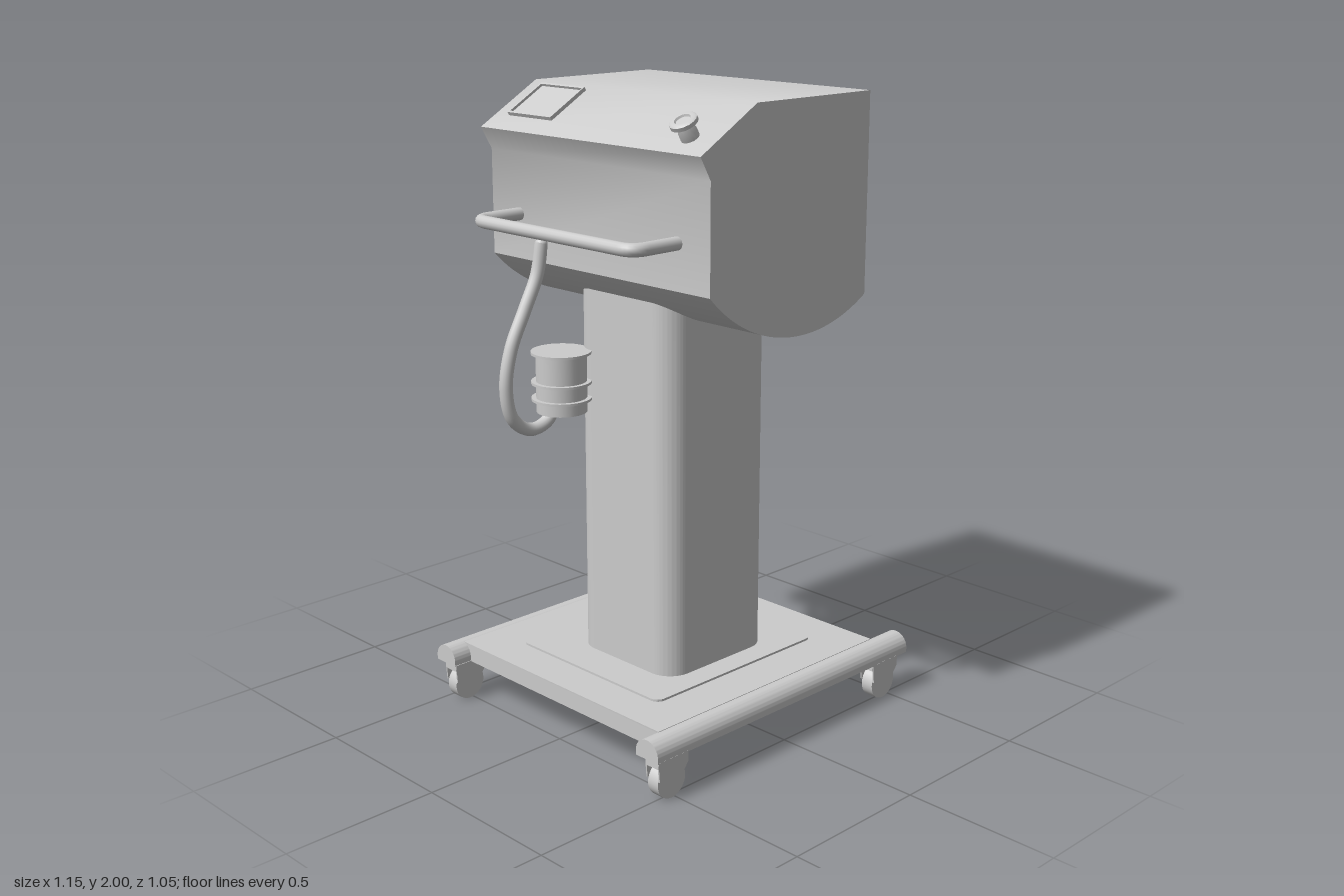
import * as THREE from 'three';
import { toCreasedNormals } from 'three/addons/utils/BufferGeometryUtils.js';

const material = new THREE.MeshStandardMaterial({ color: 0xcccccc, side: THREE.DoubleSide });

function add(parent, name, geometry, x = 0, y = 0, z = 0) {
  const mesh = new THREE.Mesh(geometry, material);
  mesh.name = name;
  mesh.position.set(x, y, z);
  parent.add(mesh);
  return mesh;
}

function extrude(shape, depth) {
  const g = new THREE.ExtrudeGeometry(shape, { depth, bevelEnabled: false, curveSegments: 20 });
  return toCreasedNormals(g, 0.6);
}

// Rounded rectangle in plan; z runs opposite to the shape's y
function plan(Kind, x0, x1, z0, z1, r) {
  const s = new Kind();
  const a = -z1, b = -z0;
  s.moveTo(x0 + r, a);
  s.lineTo(x1 - r, a);
  s.absarc(x1 - r, a + r, r, -Math.PI / 2, 0);
  s.lineTo(x1, b - r);
  s.absarc(x1 - r, b - r, r, 0, Math.PI / 2);
  s.lineTo(x0 + r, b);
  s.absarc(x0 + r, b - r, r, Math.PI / 2, Math.PI);
  s.lineTo(x0, a + r);
  s.absarc(x0 + r, a + r, r, Math.PI, Math.PI * 1.5);
  return s;
}

// Slab with an opening, lying flat from y0 to y1
function slab(outer, inner, y0, y1) {
  const shape = plan(THREE.Shape, ...outer);
  shape.holes.push(plan(THREE.Path, ...inner));
  return extrude(shape, y1 - y0).rotateX(-Math.PI / 2).translate(0, y0, 0);
}

function buildBase(root) {
  const base = new THREE.Group();
  base.name = 'base';
  root.add(base);

  const bore = [-0.24, 0.19, -0.18, 0.23, 0.07];
  const raised = [-0.38, 0.33, -0.32, 0.32, 0.03];
  add(base, 'basePlate', slab([-0.51, 0.465, -0.47, 0.46, 0.003], raised, 0.18, 0.19));
  add(base, 'raisedPlate', slab(raised, bore, 0.183, 0.197));
  for (const x of [-0.505, 0.46]) {
    add(base, 'sideSkirt', new THREE.BoxGeometry(0.01, 0.055, 0.92), x, 0.158, 0);
  }
  add(base, 'column', slab([-0.25, 0.2, -0.19, 0.24, 0.08], bore, 0.185, 1.42));

  // Domed rails along the front and back
  const dome = new THREE.Shape();
  dome.moveTo(-0.047, 0.13);
  dome.lineTo(0.047, 0.13);
  dome.lineTo(0.047, 0.145);
  dome.absarc(0, 0.145, 0.047, 0, Math.PI);
  for (const z of [-0.478, 0.478]) {
    const g = extrude(dome, 1.15).rotateY(Math.PI / 2).translate(-0.575, 0, 0);
    add(base, 'rail', g, 0, 0, z);
  }
  for (const x of [-0.513, 0.463]) for (const z of [-0.457, 0.497]) buildCaster(base, x, z);
}

function buildCaster(parent, x, z) {
  const caster = new THREE.Group();
  caster.name = 'caster';
  caster.position.set(x, 0, z);
  parent.add(caster);
  const wheel = new THREE.CylinderGeometry(0.056, 0.056, 0.042, 28).rotateX(Math.PI / 2);
  add(caster, 'wheel', wheel, 0, 0.056, 0);
  const cheek = new THREE.Shape();
  cheek.moveTo(-0.06, 0.133);
  cheek.lineTo(-0.055, 0.07);
  cheek.lineTo(-0.015, 0.048);
  cheek.lineTo(0.025, 0.052);
  cheek.lineTo(0.062, 0.1);
  cheek.lineTo(0.062, 0.133);
  for (const s of [-1, 1]) add(caster, 'forkCheek', extrude(cheek, 0.005), 0, 0, s * 0.026 - 0.0025);
  add(caster, 'forkCrown', new THREE.BoxGeometry(0.12, 0.02, 0.052), 0, 0.122, 0);
}

function buildHead(root) {
  const head = new THREE.Group();
  head.name = 'head';
  root.add(head);

  // Side profile with a rounded belly and a sloping console
  const profile = new THREE.Shape();
  profile.moveTo(0.335, 2);
  profile.lineTo(-0.155, 2);
  profile.lineTo(-0.38, 1.87);
  profile.lineTo(-0.34, 1.8);
  profile.lineTo(-0.34, 1.47);
  profile.absarc(0.05, 1.832, 0.532, Math.atan2(-0.362, -0.39), Math.atan2(-0.449, 0.285), false);
  profile.lineTo(0.335, 2);
  add(head, 'housing', extrude(profile, 0.955), 0, 0, -0.46);

  // Console fittings: local x runs up the slope, local y points out of it
  const console = new THREE.Group();
  console.name = 'console';
  console.position.set(-0.38, 1.87, 0);
  console.rotation.z = Math.atan2(0.13, 0.225);
  head.add(console);
  add(console, 'screen', new THREE.BoxGeometry(0.16, 0.006, 0.2), 0.152, 0.001, -0.297);
  for (const s of [-1, 1]) {
    add(console, 'screenFrame', new THREE.BoxGeometry(0.008, 0.02, 0.2), 0.152 + s * 0.077, 0.002, -0.297);
    add(console, 'screenFrame', new THREE.BoxGeometry(0.16, 0.02, 0.006), 0.152, 0.002, -0.297 + s * 0.098);
  }
  const knob = [[0, 0], [0.028, 0], [0.028, 0.02], [0.024, 0.038], [0.042, 0.046], [0.042, 0.058],
    [0.036, 0.062], [0.025, 0.062], [0.022, 0.056], [0, 0.056]].map(p => new THREE.Vector2(...p));
  add(console, 'knob', toCreasedNormals(new THREE.LatheGeometry(knob, 16), 0.6), 0.075, 0, 0.39);
}

function buildHandle(root) {
  const path = new THREE.CurvePath();
  const v = (x, z) => new THREE.Vector3(x, 1.61, z);
  const x = -0.512, a = -0.33, b = 0.365, r = 0.05;
  path.add(new THREE.LineCurve3(v(-0.33, a), v(x + r, a)));
  path.add(new THREE.QuadraticBezierCurve3(v(x + r, a), v(x, a), v(x, a + r)));
  path.add(new THREE.LineCurve3(v(x, a + r), v(x, b - r)));
  path.add(new THREE.QuadraticBezierCurve3(v(x, b - r), v(x, b), v(x + r, b)));
  path.add(new THREE.LineCurve3(v(x + r, b), v(-0.33, b)));
  add(root, 'handle', new THREE.TubeGeometry(path, 100, 0.02, 14));
}

function buildCanister(root) {
  const canister = new THREE.Group();
  canister.name = 'canister';
  root.add(canister);
  const x = -0.32, z = -0.17;
  add(canister, 'canisterBody', new THREE.CylinderGeometry(0.08, 0.08, 0.19, 32), x, 1.1, z);
  for (const y of [1.195, 1.1, 1.047]) {
    add(canister, 'flange', new THREE.CylinderGeometry(0.095, 0.095, 0.008, 32), x, y, z);
  }
  const points = [[-0.35, 1.535], [-0.37, 1.44], [-0.42, 1.34], [-0.48, 1.22], [-0.503, 1.1],
    [-0.48, 1.0], [-0.41, 0.952], [-0.34, 0.968], [-0.305, 1.02]];
  const curve = new THREE.CatmullRomCurve3(points.map(p => new THREE.Vector3(p[0], p[1], -0.218)));
  add(canister, 'hose', new THREE.TubeGeometry(curve, 80, 0.021, 14));
  // Rounded hose end against the housing
  add(canister, 'hoseEnd', new THREE.SphereGeometry(0.021, 14, 10), -0.35, 1.53, -0.218);
}

export function createModel() {
  const root = new THREE.Group();
  root.name = 'mobileCart';
  buildBase(root);
  buildHead(root);
  buildHandle(root);
  buildCanister(root);
  return root;
}
